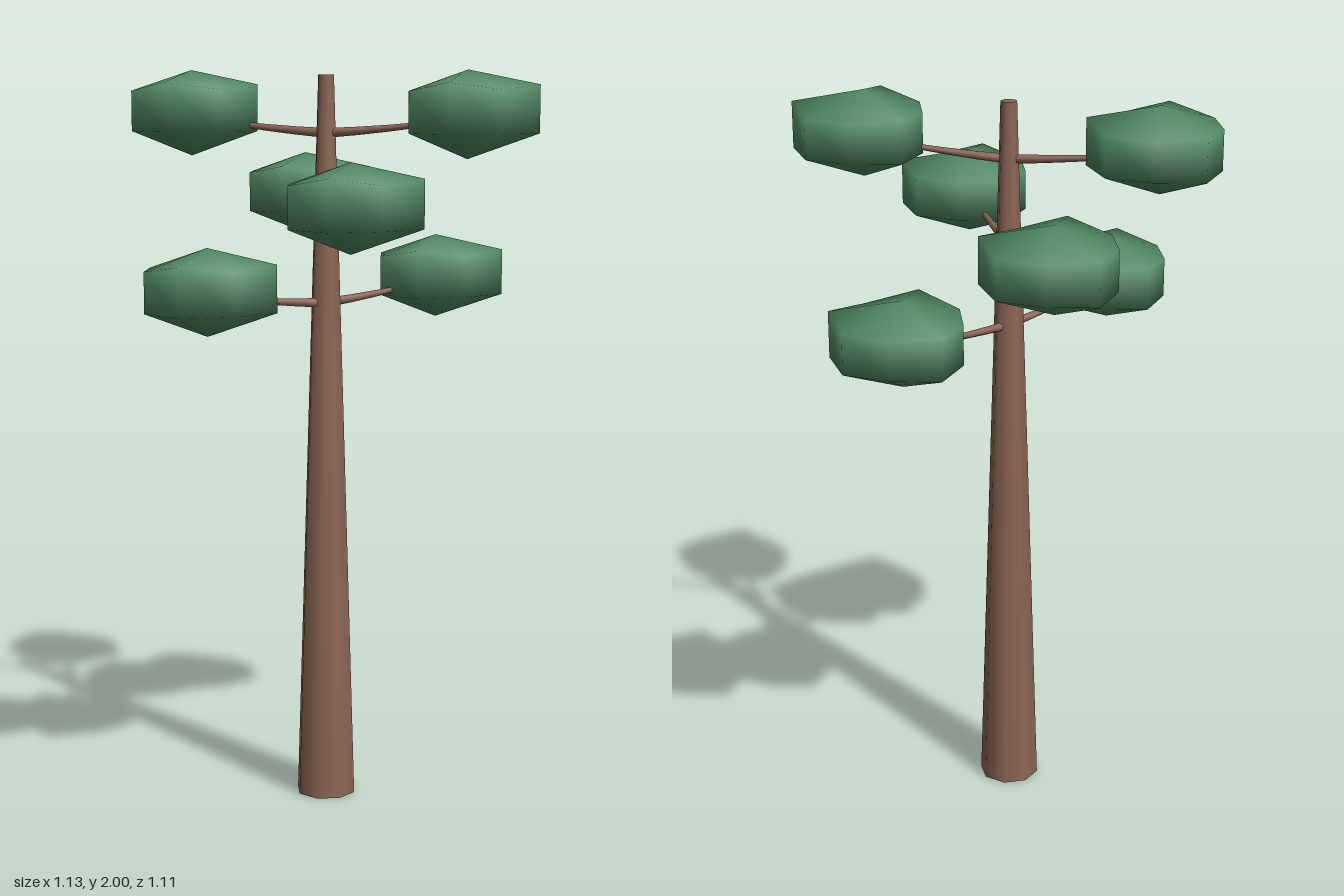
import * as THREE from 'three';
import { mergeVertices } from 'three/addons/utils/BufferGeometryUtils.js';

const bark = new THREE.MeshStandardMaterial({ color: 0x8d6656 });
const leaf = new THREE.MeshStandardMaterial({ color: 0x4f8862 });

// Flattened eight-sided clump; radius and upper-ring height vary per corner,
// starting at the back and turning towards +x.
function clumpGeometry() {
  const radii = [0.185, 0.15, 0.177, 0.192, 0.172, 0.203, 0.177, 0.16];
  const tops = [0.065, 0.052, 0.058, 0.075, 0.062, 0.08, 0.058, 0.058];
  let geo = new THREE.SphereGeometry(1, 8, 3);
  geo.deleteAttribute('uv');
  geo.deleteAttribute('normal');
  const p = geo.attributes.position;
  for (let i = 0; i < p.count; i++) {
    const x = p.getX(i), y = p.getY(i), z = p.getZ(i);
    if (Math.hypot(x, z) < 0.01) {
      p.setXYZ(i, 0, y > 0 ? 0.113 : -0.118, 0);
      continue;
    }
    const a = Math.atan2(x, -z);
    const k = (Math.round(a / (Math.PI / 4)) + 8) % 8;
    p.setXYZ(i, radii[k] * Math.sin(a), y > 0 ? tops[k] : -0.05, -radii[k] * Math.cos(a));
  }
  geo = mergeVertices(geo, 1e-4);
  geo.computeVertexNormals();
  return geo;
}

// Thin tapered branch along +z that lifts gently towards its tip
function branchGeometry(length) {
  const geo = new THREE.CylinderGeometry(0.005, 0.013, length, 6, 4);
  geo.translate(0, length / 2, 0);
  geo.rotateX(Math.PI / 2);
  const p = geo.attributes.position;
  for (let i = 0; i < p.count; i++) {
    const t = p.getZ(i) / length;
    p.setY(i, p.getY(i) + 0.02 * t + 0.015 * t * t);
  }
  geo.computeVertexNormals();
  return geo;
}

export function createModel() {
  const tree = new THREE.Group();
  tree.name = 'tree';
  const cx = -0.01, cz = 0.018;

  // Tapered trunk
  const trunk = new THREE.Mesh(new THREE.CylinderGeometry(0.022, 0.083, 1.985, 8, 1), bark);
  trunk.name = 'trunk';
  trunk.position.set(cx, 1.985 / 2, cz);
  tree.add(trunk);

  // Clump centres: three tiers of opposite pairs
  const clumps = [
    [-0.264, 1.885, -0.294], [0.26, 1.885, 0.3],
    [0.125, 1.655, -0.373], [-0.127, 1.655, 0.379],
    [0.387, 1.43, -0.076], [-0.39, 1.43, 0.082],
  ];
  const foliage = clumpGeometry();
  for (const [x, y, z] of clumps) {
    const clump = new THREE.Mesh(foliage, leaf);
    clump.name = 'foliageClump';
    clump.position.set(x, y, z);
    tree.add(clump);

    const dx = x - cx, dz = z - cz;
    const branch = new THREE.Mesh(branchGeometry(Math.hypot(dx, dz) * 0.9), bark);
    branch.name = 'branch';
    branch.position.set(cx, y - 0.053, cz);
    branch.rotation.y = Math.atan2(dx, dz);
    tree.add(branch);
  }
  return tree;
}
